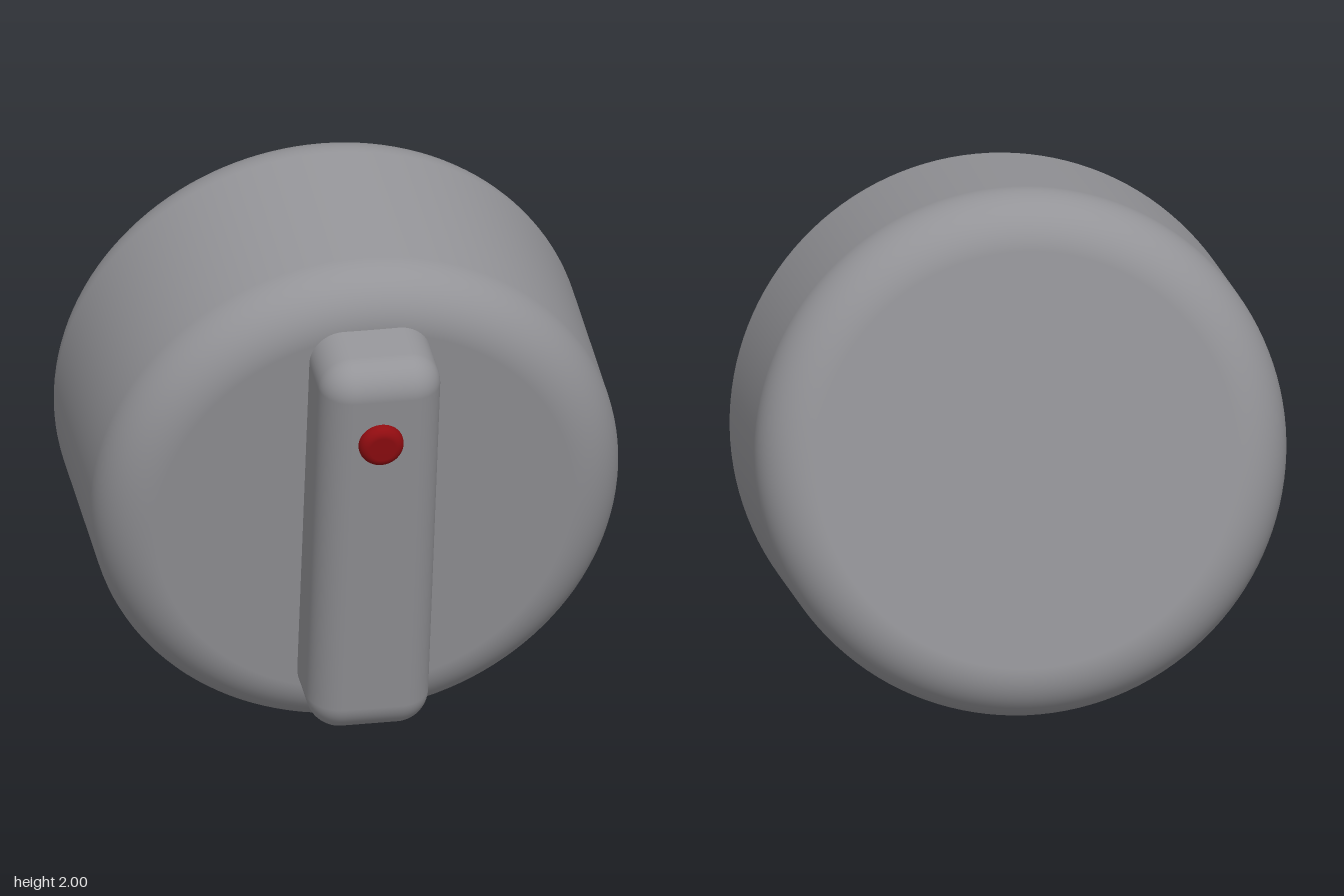
import * as THREE from 'three';
import { RoundedBoxGeometry } from 'three/addons/geometries/RoundedBoxGeometry.js';

// Solid disc along z with filleted rims, from z = back to z = front
function roundedDisc(radius, back, front, fillet, steps, sides) {
  const points = [new THREE.Vector2(0, back)];
  const arc = (centre, start) => {
    for (let i = 0; i <= steps; i++) {
      const a = start + (i / steps) * Math.PI / 2;
      points.push(new THREE.Vector2(
        radius - fillet + fillet * Math.cos(a), centre + fillet * Math.sin(a)));
    }
  };
  arc(back + fillet, -Math.PI / 2);
  arc(front - fillet, 0);
  points.push(new THREE.Vector2(0, front));
  return new THREE.LatheGeometry(points, sides).rotateX(Math.PI / 2);
}

export function createModel() {
  const model = new THREE.Group();
  model.name = 'rotaryKnob';
  const grey = new THREE.MeshStandardMaterial({ color: 0x949498 });
  const red = new THREE.MeshStandardMaterial({ color: 0x900c10 });

  // The whole knob leans forward at the top
  const knob = new THREE.Group();
  knob.name = 'tiltedKnob';
  knob.position.set(0, 1, -0.14);
  knob.rotation.x = THREE.MathUtils.degToRad(10);
  model.add(knob);

  const add = (name, geometry, material, x, y, z) => {
    const mesh = new THREE.Mesh(geometry, material);
    mesh.name = name;
    mesh.position.set(x, y, z);
    knob.add(mesh);
  };

  // Thick round body
  add('body', roundedDisc(0.953, -0.537, 0.535, 0.2, 16, 128), grey, 0, 0, 0);

  // Grip bar across the face, its back sunk into the body
  add('gripBar', new RoundedBoxGeometry(0.44, 1.55, 0.6, 8, 0.12), grey, 0, 0, 0.52);

  // Indicator dot near the top of the grip
  add('indicatorDot', roundedDisc(0.081, -0.04, 0.04, 0.035, 8, 48), red, -0.01, 0.48, 0.82);

  return model;
}
